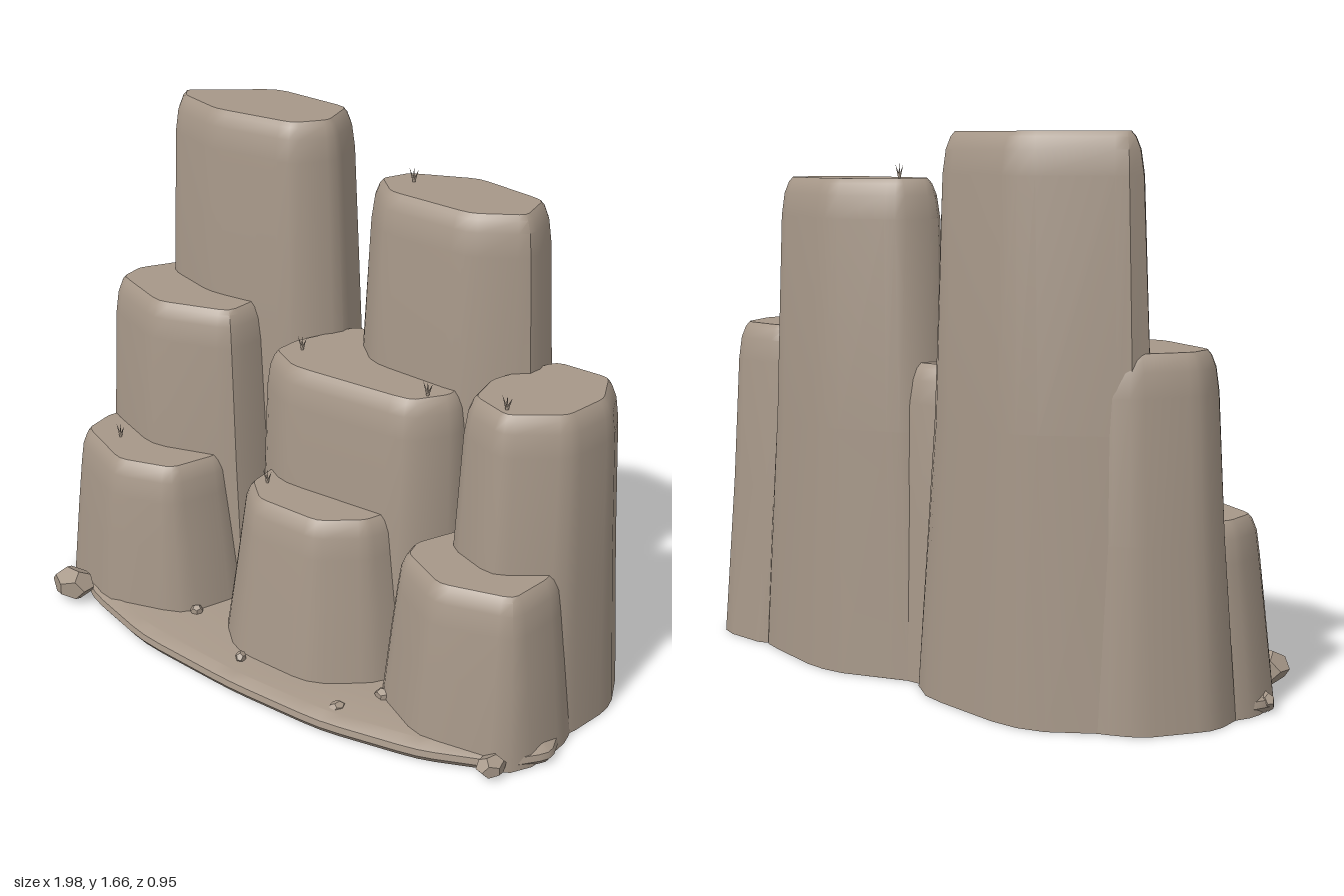
import * as THREE from 'three';
import { toCreasedNormals } from 'three/addons/utils/BufferGeometryUtils.js';

const stone = new THREE.MeshStandardMaterial({ color: 0xa69788 });
stone.name = 'warm grey stone';

// Clip each corner of an x,z outline and orient it consistently
function clipCorners(points, cut) {
  const pts = points.map(([x, z]) => new THREE.Vector2(x, z));
  if (THREE.ShapeUtils.area(pts) < 0) pts.reverse();
  return pts.flatMap((p, i) => {
    const prev = pts[(i + pts.length - 1) % pts.length];
    const next = pts[(i + 1) % pts.length];
    const a = p.clone().lerp(prev, cut), b = p.clone().lerp(next, cut);
    return [a, a.clone().add(b).multiplyScalar(0.25).addScaledVector(p, 0.5), b];
  });
}

// Push an outline outwards along its edge normals, by separate x and z amounts
function grow(pts, dx, dz) {
  return pts.map((p, i) => {
    const a = pts[(i + pts.length - 1) % pts.length];
    const b = pts[(i + 1) % pts.length];
    const t = b.clone().sub(a).normalize();
    return new THREE.Vector2(p.x + t.y * dx, p.y - t.x * dz);
  });
}

// Closed loft: levels are [height, x offset, z offset] from the ground up
function loft(outline, levels, cut = 0.14) {
  const pts = clipCorners(outline, cut);
  const n = pts.length, pos = [], idx = [];
  for (const [y, dx, dz = dx] of levels) {
    for (const p of grow(pts, dx, dz)) pos.push(p.x, y, p.y);
  }
  for (let k = 0; k < levels.length - 1; k++) {
    for (let i = 0; i < n; i++) {
      const a = k * n + i, b = k * n + (i + 1) % n;
      idx.push(a, a + n, b, b, a + n, b + n);
    }
  }
  const top = (levels.length - 1) * n;
  for (const [a, b, c] of THREE.ShapeUtils.triangulateShape(pts, [])) {
    idx.push(a, b, c, top + a, top + c, top + b);
  }
  const g = new THREE.BufferGeometry();
  g.setAttribute('position', new THREE.Float32BufferAttribute(pos, 3));
  g.setIndex(idx);
  return toCreasedNormals(g, 0.6);
}

// Pillars: top height, ground spread in x and z, flat top outline
const pillars = [
  ['tallLeftPillar', 1.66, 0.15, 0.07, [[-0.75, -0.22], [-0.52, -0.41], [-0.22, -0.385],
    [-0.175, -0.24], [-0.24, -0.145], [-0.53, -0.115], [-0.71, -0.17]]],
  ['tallRightPillar', 1.52, 0.16, 0.075, [[0.045, -0.23], [0.08, -0.32], [0.28, -0.41],
    [0.54, -0.36], [0.575, -0.22], [0.44, -0.13], [0.14, -0.145]]],
  ['middleLeftPillar', 1.055, 0.11, 0.085, [[-0.865, -0.08], [-0.78, -0.24], [-0.5, -0.36],
    [-0.37, -0.2], [-0.37, 0.02], [-0.61, 0.1], [-0.85, 0.01]]],
  ['middleCentrePillar', 0.97, 0.07, 0.08, [[-0.18, -0.08], [-0.1, -0.29], [0, -0.3], [0.4, -0.28],
    [0.44, -0.06], [0.37, 0.05], [-0.06, 0.075], [-0.18, 0.01]]],
  ['middleRightPillar', 1.04, 0.085, 0.105, [[0.56, -0.1], [0.64, -0.325], [0.82, -0.325],
    [0.885, -0.19], [0.865, -0.03], [0.73, 0.08], [0.59, 0.03]]],
  ['lowLeftPillar', 0.56, 0.1, 0.07, [[-0.88, 0.08], [-0.8, -0.12], [-0.46, -0.12], [-0.39, 0.08],
    [-0.44, 0.24], [-0.62, 0.3], [-0.86, 0.2]]],
  ['lowCentrePillar', 0.585, 0.11, 0.095, [[-0.15, 0.07], [-0.05, -0.08], [0.26, -0.08], [0.32, 0.06],
    [0.29, 0.16], [0.18, 0.255], [-0.05, 0.255], [-0.14, 0.18]]],
  ['lowRightPillar', 0.55, 0.085, 0.08, [[0.46, 0.12], [0.55, -0.1], [0.82, -0.12], [0.88, 0.05],
    [0.865, 0.21], [0.65, 0.275], [0.48, 0.19]]],
];

export function createModel() {
  const group = new THREE.Group();
  const add = (name, geometry, x = 0, y = 0, z = 0) => {
    const mesh = new THREE.Mesh(geometry, stone);
    mesh.name = name;
    mesh.position.set(x, y, z);
    group.add(mesh);
    return mesh;
  };

  // Stepped pillars with softened rims, widening towards the ground
  for (const [name, h, sx, sz, outline] of pillars) {
    add(name, loft(outline, [
      [0, sx, sz], [h * 0.5, sx * 0.3 + 0.03, sz * 0.3 + 0.03], [h - 0.12, 0.037],
      [h - 0.05, 0.027], [h - 0.015, 0.013], [h, 0],
    ]));
  }

  // Low ledge at the foot
  add('footLedge', loft([[-0.95, 0.06], [-0.98, 0.16], [-0.72, 0.345], [-0.4, 0.435], [0, 0.46],
    [0.35, 0.45], [0.67, 0.38], [0.88, 0.28], [0.975, 0.15], [0.94, 0.06], [0.6, -0.2], [-0.6, -0.2]],
  [[0, 0], [0.02, 0.015], [0.04, 0.01], [0.058, -0.025]], 0.2));

  // Ground fill between the pillars
  add('groundFill', loft([[-0.9, -0.1], [-0.5, -0.44], [-0.08, -0.36], [0.27, -0.44],
    [0.8, -0.38], [0.92, 0], [0.6, 0.2], [-0.6, 0.2]], [[0, 0], [0.02, 0]]));

  // Loose boulders and pebbles
  const rocks = [[-0.8, 0.055, 0.37, 0.08, 0.055], [0.88, 0.035, 0.31, 0.05, 0.035],
    [-0.97, 0.03, 0.15, 0.03, 0.03], [-0.34, 0.065, 0.25, 0.022, 0.02],
    [-0.04, 0.065, 0.37, 0.022, 0.02], [0.44, 0.065, 0.25, 0.03, 0.02], [0.36, 0.055, 0.38, 0.03, 0.015]];
  rocks.forEach(([x, y, z, r, h], i) => {
    const rock = add('rock', toCreasedNormals(new THREE.DodecahedronGeometry(1), 0.3), x, y, z);
    rock.scale.set(r, h, r * 0.8);
    rock.rotation.y = i * 1.3;
  });

  // Tiny forked sprigs on the ledges
  const sprigs = [[0.14, 1.52, -0.26], [0.71, 1.04, 0.05], [0.39, 0.97, -0.01],
    [-0.12, 0.97, -0.04], [-0.1, 0.585, 0.16], [-0.73, 0.56, 0.18]];
  for (const [x, y, z] of sprigs) {
    for (const side of [-1, 0, 1]) {
      const blade = new THREE.ConeGeometry(0.005, 0.045, 4);
      blade.translate(0, 0.0225, 0);
      add('sprig', blade, x, y, z).rotation.z = side * 0.4;
    }
  }
  return group;
}
